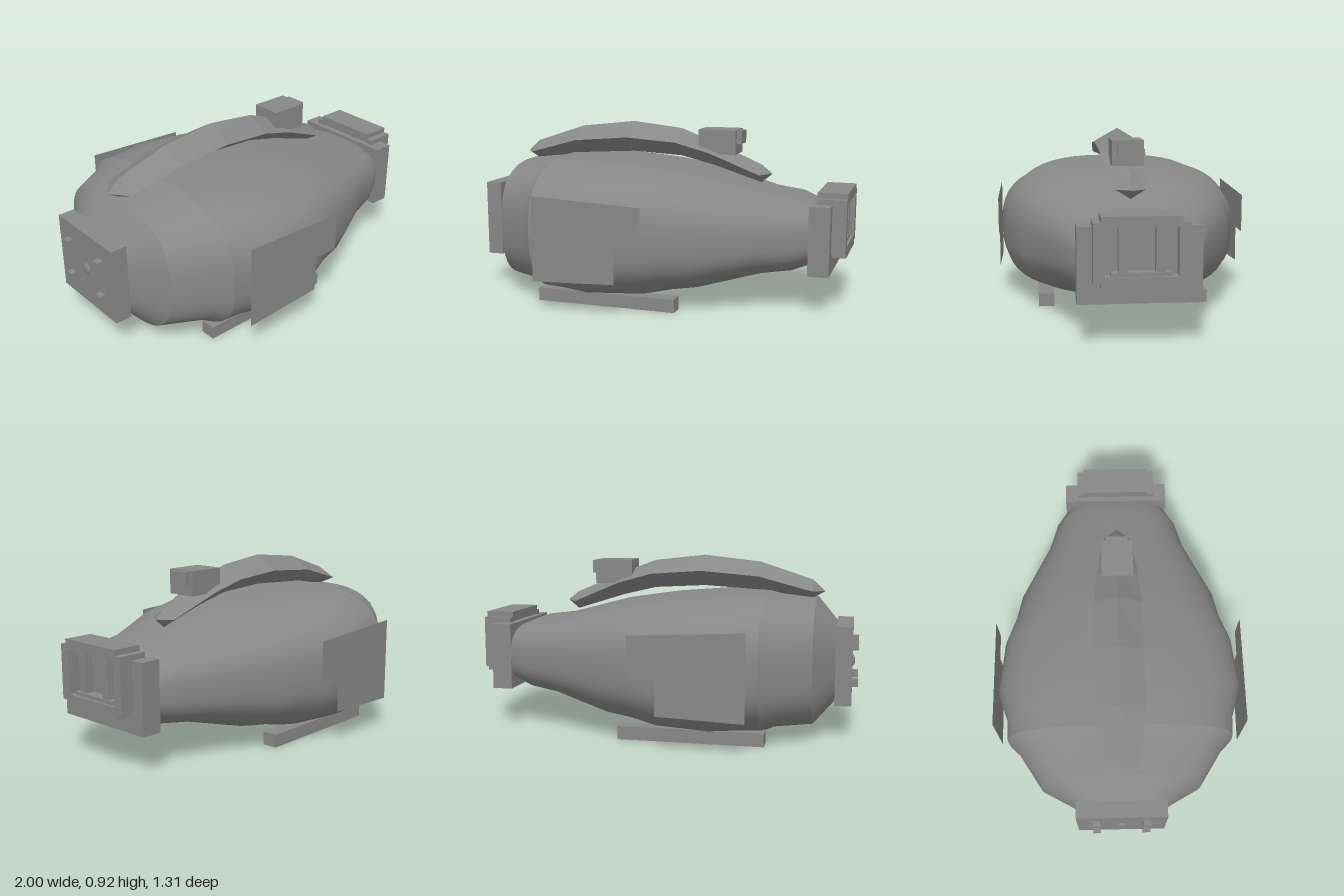
import * as THREE from 'three';

const grey = new THREE.MeshStandardMaterial({ color: 0x888888 });
grey.name = 'hull grey';
const greySheet = new THREE.MeshStandardMaterial({ color: 0x888888, side: THREE.DoubleSide });
greySheet.name = 'panel grey';

function add(group, name, geometry, material = grey) {
  const mesh = new THREE.Mesh(geometry, material);
  mesh.name = name;
  group.add(mesh);
  return mesh;
}

// Box given by its limits on each axis
function box(group, name, [x0, x1], [y0, y1], [z0, z1]) {
  const mesh = add(group, name, new THREE.BoxGeometry(x1 - x0, y1 - y0, z1 - z0));
  mesh.position.set((x0 + x1) / 2, (y0 + y1) / 2, (z0 + z1) / 2);
  return mesh;
}

// Skin over closed rings of points laid out along +x
function loft(rings, flat = false) {
  const n = rings[0].length;
  const index = [];
  for (let i = 0; i < rings.length - 1; i++) {
    for (let j = 0; j < n; j++) {
      const k = (j + 1) % n;
      const a = i * n + j, b = a + n, c = (i + 1) * n + k, d = i * n + k;
      index.push(a, b, c, a, c, d);
    }
  }
  let geometry = new THREE.BufferGeometry();
  geometry.setAttribute('position', new THREE.Float32BufferAttribute(rings.flat(2), 3));
  geometry.setIndex(index);
  if (flat) geometry = geometry.toNonIndexed();
  geometry.computeVertexNormals();
  return geometry;
}

// Rounded-rectangle section of the hull
function hullRing([x, bottom, top, half]) {
  const ring = [], sides = 48, p = 2 / 2.8;
  for (let j = 0; j < sides; j++) {
    const t = (j / sides) * Math.PI * 2;
    const c = Math.cos(t), s = Math.sin(t);
    ring.push([
      x,
      (top + bottom) / 2 + ((top - bottom) / 2) * Math.sign(s) * Math.abs(s) ** p,
      half * Math.sign(c) * Math.abs(c) ** p,
    ]);
  }
  return ring;
}

function polygon(points) {
  return new THREE.Shape(points.map(([x, y]) => new THREE.Vector2(x, y)));
}

export function createModel() {
  const model = new THREE.Group();
  model.name = 'pod';

  // Hull: x, bottom, top, half width; split where it has a crease
  const tail = [[-0.89, 0.175, 0.575, 0.225], [-0.78, 0.055, 0.7, 0.42]];
  const collar = [tail[1], [-0.59, 0.045, 0.72, 0.54], [-0.535, 0.025, 0.737, 0.595]];
  const main = [
    collar[2], [-0.43, 0.018, 0.737, 0.6], [-0.28, 0.012, 0.733, 0.65], [0, 0.03, 0.71, 0.62],
    [0.14, 0.06, 0.69, 0.565], [0.27, 0.08, 0.67, 0.535], [0.58, 0.165, 0.588, 0.385],
    [0.73, 0.187, 0.57, 0.34], [0.83, 0.225, 0.53, 0.28],
  ];
  add(model, 'hullTail', loft(tail.map(hullRing)));
  add(model, 'hullCollar', loft(collar.map(hullRing)));
  add(model, 'hullMain', loft(main.map(hullRing)));

  // Roof blade: x, ridge height, shoulder height, keel height, half width
  const blade = [
    [-0.82, 0.735, 0.735, 0.735, 0], [-0.755, 0.795, 0.74, 0.697, 0.1],
    [-0.48, 0.885, 0.815, 0.737, 0.123], [-0.18, 0.918, 0.84, 0.755, 0.128],
    [0.09, 0.887, 0.82, 0.74, 0.123], [0.27, 0.82, 0.77, 0.697, 0.11],
    [0.53, 0.708, 0.66, 0.615, 0.073], [0.585, 0.664, 0.662, 0.66, 0],
  ];
  add(model, 'roofBlade', loft(blade.map(([x, ridge, shoulder, keel, w]) => [
    [x, shoulder, w], [x, ridge, 0], [x, shoulder, -w], [x, keel, 0],
  ]), true));
  box(model, 'roofPod', [0.205, 0.405], [0.763, 0.89], [-0.08, 0.08]);
  box(model, 'roofPodLens', [0.405, 0.43], [0.817, 0.885], [-0.055, 0.055]);

  // Tail plate with four bolts and a central stud
  box(model, 'tailPlate', [-0.97, -0.885], [0.175, 0.577], [-0.23, 0.23]);
  for (const y of [0.28, 0.47]) {
    for (const z of [-0.13, 0.13]) {
      box(model, 'tailBolt', [-1, -0.965], [y - 0.02, y + 0.02], [z - 0.02, z + 0.02]);
    }
  }
  const stud = add(model, 'tailStud', new THREE.SphereGeometry(0.03, 12, 8));
  stud.scale.x = 0.4;
  stud.position.set(-0.97, 0.375, 0);

  // Nose block and its notched frame
  box(model, 'noseBlock', [0.825, 0.93], [0.2, 0.55], [-0.283, 0.283]);
  const outline = polygon([
    [-0.18, 0.28], [0.18, 0.28], [0.18, 0.305], [0.215, 0.305], [0.215, 0.577], [0.18, 0.577],
    [0.18, 0.605], [-0.18, 0.605], [-0.18, 0.577], [-0.215, 0.577], [-0.215, 0.305], [-0.18, 0.305],
  ]);
  outline.holes.push(polygon([[-0.165, 0.335], [-0.165, 0.555], [0.165, 0.555], [0.165, 0.335]]));
  const frame = new THREE.ExtrudeGeometry(outline, { depth: 0.15, bevelEnabled: false });
  frame.rotateY(Math.PI / 2);
  frame.translate(0.85, 0, 0);
  add(model, 'noseFrame', frame);
  box(model, 'noseRecess', [0.86, 0.935], [0.33, 0.56], [-0.17, 0.17]);
  box(model, 'noseSill', [0.93, 0.985], [0.33, 0.353], [-0.135, 0.135]);

  // Mirrored parts
  for (const s of [-1, 1]) {
    const bar = box(model, 'noseBar', [0.93, 0.98], [0.345, 0.558], [-0.019, 0.019]);
    bar.position.z = s * 0.083;
    const skid = box(model, 'skid', [-0.555, 0.19], [0, 0.068], [-0.041, 0.041]);
    skid.position.z = s * 0.409;
    // Thin side panels, upper and lower
    const upper = polygon([[-0.485, 0.375], [0.085, 0.365], [0.085, 0.565], [-0.485, 0.592]]);
    const lower = polygon([[-0.485, 0.16], [-0.05, 0.178], [-0.05, 0.367], [-0.485, 0.375]]);
    add(model, 'upperSidePanel', new THREE.ShapeGeometry(upper), greySheet).position.z = s * 0.656;
    add(model, 'lowerSidePanel', new THREE.ShapeGeometry(lower), greySheet).position.z = s * 0.656;
  }

  return model;
}
